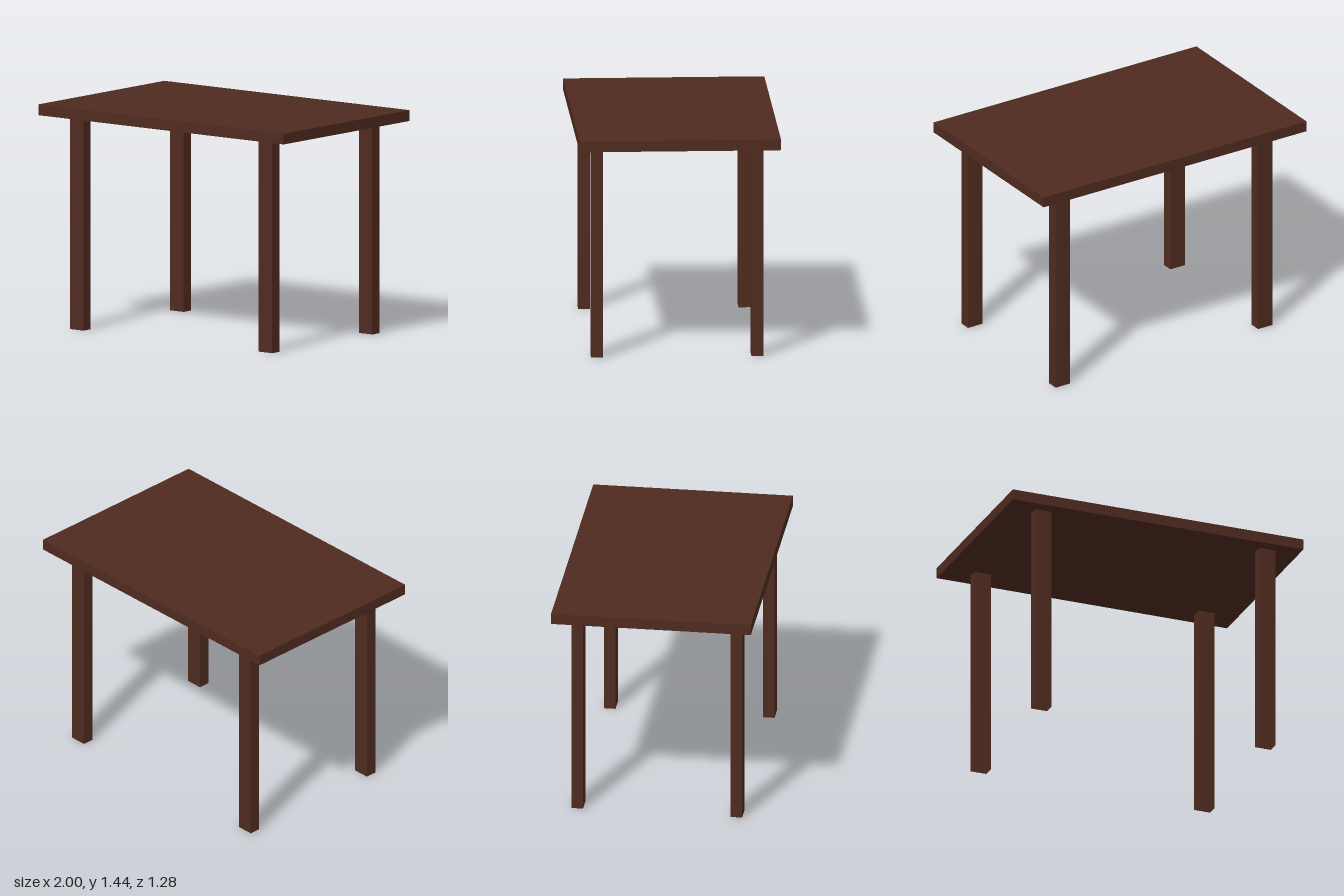
import * as THREE from 'three';

export function createModel() {
  const group = new THREE.Group();
  const wood = new THREE.MeshStandardMaterial({
    color: 0x502b20, flatShading: true, side: THREE.DoubleSide,
  });

  // Flat slab top
  const top = new THREE.Mesh(new THREE.BoxGeometry(2, 0.07, 1.285), wood);
  top.name = 'tableTop';
  top.position.y = 1.405;
  group.add(top);

  // Four rectangular legs, hollow and open at the foot
  const legHeight = 1.37;
  const legGeometry = new THREE.CylinderGeometry(Math.SQRT1_2, Math.SQRT1_2, 1, 4, 1, true)
    .rotateY(Math.PI / 4)
    .scale(0.11, legHeight, 0.075);
  for (const [xName, x] of [['Right', -0.755], ['Left', 0.785]]) {
    for (const [zName, z] of [['front', 0.523], ['back', -0.5]]) {
      const leg = new THREE.Mesh(legGeometry, wood);
      leg.name = `${zName}${xName}Leg`;
      leg.position.set(x, legHeight / 2, z);
      group.add(leg);
    }
  }
  return group;
}
